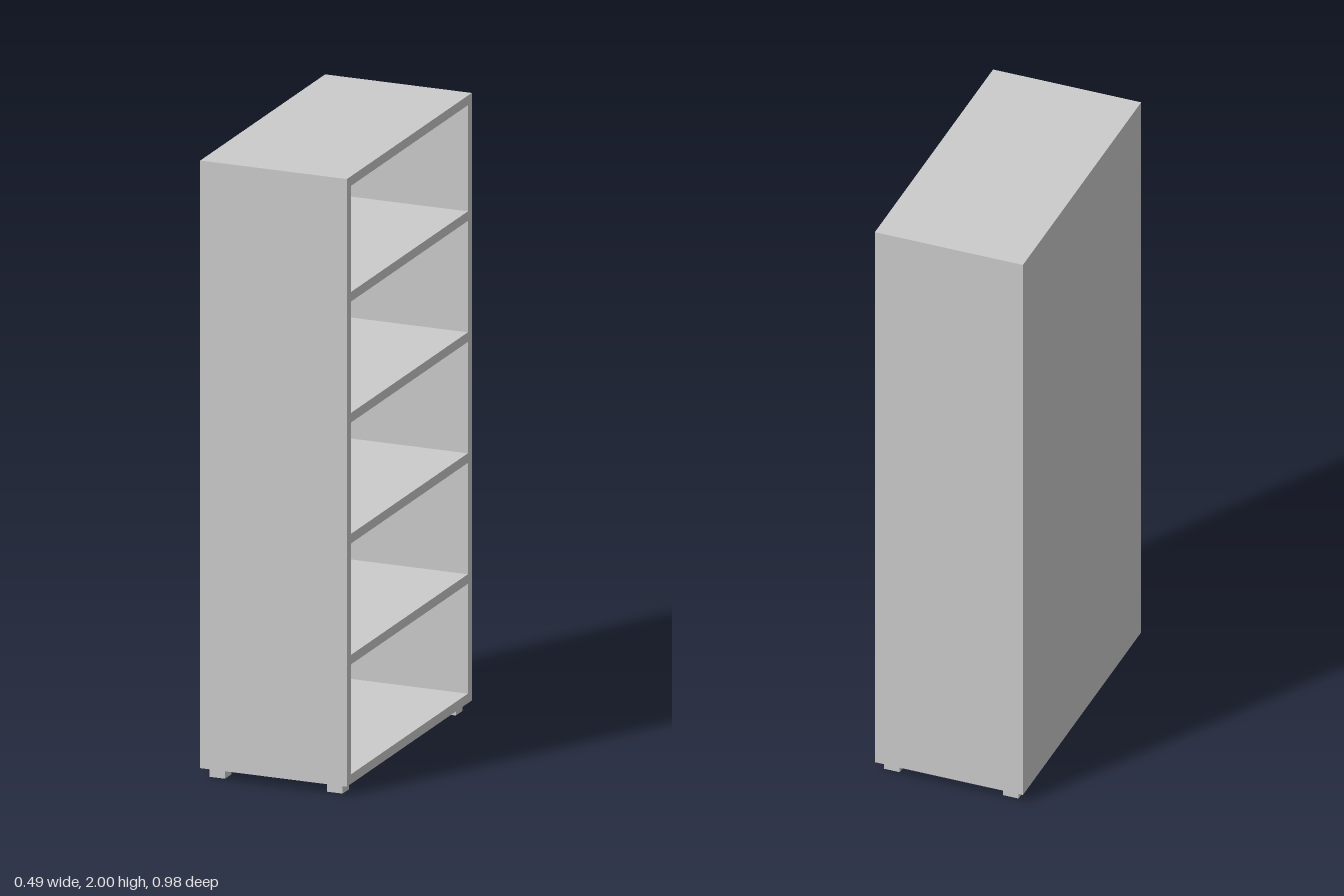
import * as THREE from 'three';

export function createModel() {
  const group = new THREE.Group();
  const material = new THREE.MeshStandardMaterial({ color: 0xcccccc, flatShading: true });

  const W = 0.494, D = 0.982, H = 2; // cabinet extents in x, z, y
  const T = 0.031;                   // board thickness
  const base = 0.031;                // foot height

  // Adds a box from its minimum and maximum corners
  function board(name, min, max) {
    const size = max.map((v, i) => v - min[i]);
    const mesh = new THREE.Mesh(new THREE.BoxGeometry(...size), material);
    mesh.position.set(...min.map((v, i) => v + size[i] / 2));
    mesh.name = name;
    group.add(mesh);
  }

  const x = W / 2, z = D / 2;

  // Outer case, open towards +x
  board('topPanel', [-x, H - T, -z], [x, H, z]);
  board('bottomPanel', [-x, base, -z], [x, base + T, z]);
  board('frontSidePanel', [-x, base + T, z - T], [x, H - T, z]);
  board('rearSidePanel', [-x, base + T, -z], [x, H - T, -z + T]);
  board('backPanel', [-x, base + T, -z + T], [-x + T, H - T, z - T]);

  // Four shelves, flush with the open side
  for (const y of [0.418, 0.81, 1.202, 1.594]) {
    board('shelf', [-x + T, y, -z + T], [x, y + T, z - T]);
  }

  // Small block feet, one near each corner
  for (const sx of [-1, 1]) {
    for (const sz of [-1, 1]) {
      const cx = sx * 0.198, cz = sz * 0.445, r = 0.026;
      board('foot', [cx - r, 0, cz - r], [cx + r, base, cz + r]);
    }
  }
  return group;
}
